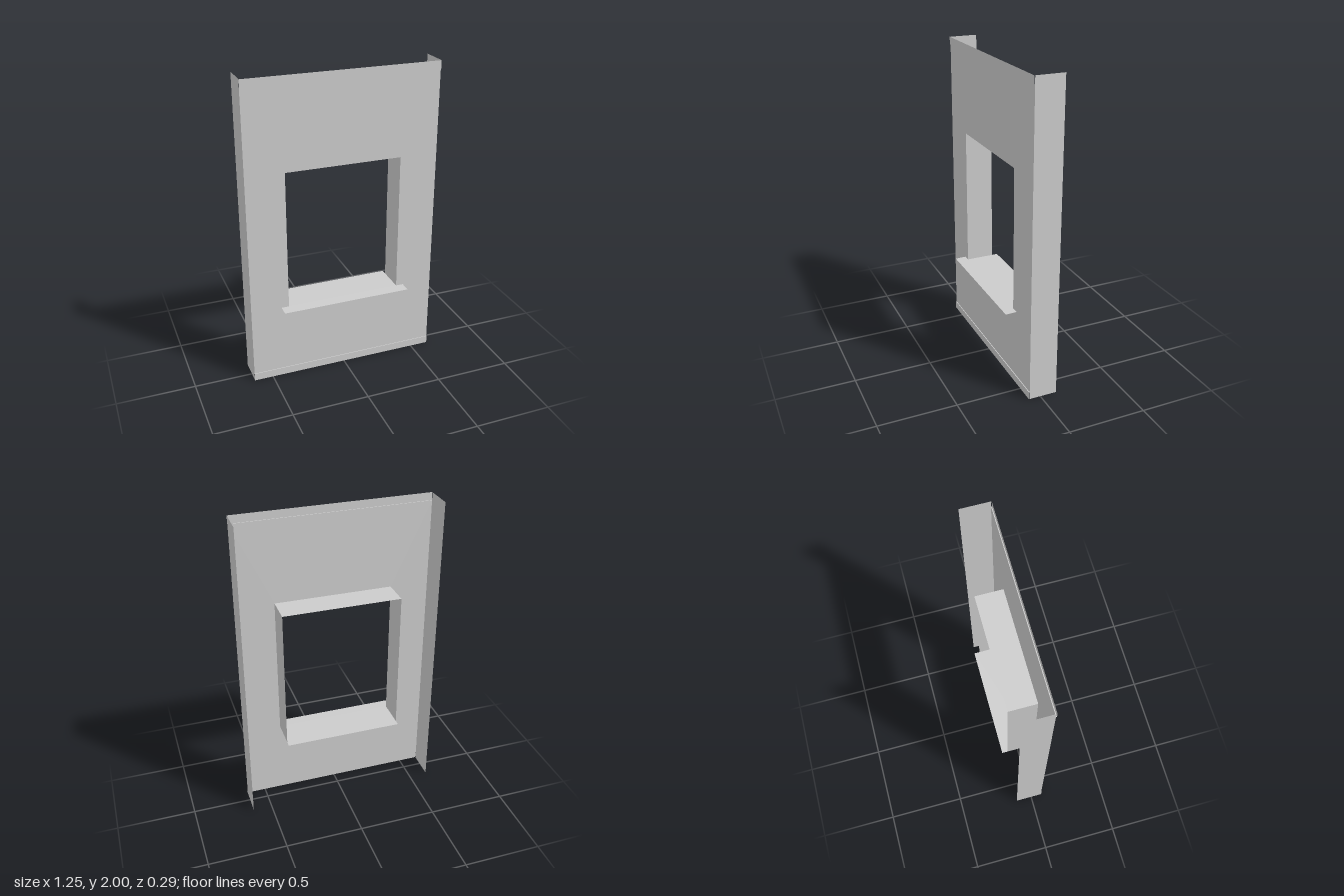
import * as THREE from 'three';

const W = 0.623;            // half width of the panel
const WIN = 0.375;          // half width of the opening
const Y0 = 0.505, Y1 = 1.415; // opening bottom and top
const FACE = 0.073, BACK = -0.108;

const material = new THREE.MeshStandardMaterial({ color: 0xcccccc, side: THREE.DoubleSide, flatShading: true });

// Folded sheet: a profile of [z, y] points swept from -half to +half along x
function foldedSheet(name, half, profile) {
  const pos = [];
  for (let i = 0; i < profile.length - 1; i++) {
    const [za, ya] = profile[i], [zb, yb] = profile[i + 1];
    const a = [-half, ya, za], b = [half, ya, za], c = [half, yb, zb], d = [-half, yb, zb];
    pos.push(...a, ...b, ...c, ...a, ...c, ...d);
  }
  const g = new THREE.BufferGeometry();
  g.setAttribute('position', new THREE.Float32BufferAttribute(pos, 3));
  g.computeVertexNormals();
  const mesh = new THREE.Mesh(g, material);
  mesh.name = name;
  return mesh;
}

// Upright sheet facing sideways at x, running from the face to the back
function sideSheet(name, x, y0, y1) {
  const g = new THREE.PlaneGeometry(FACE - BACK, y1 - y0);
  g.rotateY(Math.sign(x) * Math.PI / 2);
  g.translate(x, (y0 + y1) / 2, (FACE + BACK) / 2);
  const mesh = new THREE.Mesh(g, material);
  mesh.name = name;
  return mesh;
}

export function createModel() {
  const group = new THREE.Group();
  group.name = 'windowWallPanel';

  // Face sheet with the window opening
  const shape = new THREE.Shape([
    [-W, 0.05], [W, 0.05], [W, 1.95], [-W, 1.95],
  ].map(p => new THREE.Vector2(...p)));
  shape.holes.push(new THREE.Path([
    [-WIN, Y0], [-WIN, Y1], [WIN, Y1], [WIN, Y0],
  ].map(p => new THREE.Vector2(...p))));
  const face = new THREE.Mesh(new THREE.ShapeGeometry(shape), material);
  face.name = 'wallFace';
  face.position.z = FACE;
  group.add(face);

  // Edge strips stepped slightly forward of the face
  const step = FACE + 0.005;
  group.add(foldedSheet('topStrip', W, [[FACE, 1.95], [step, 1.95], [step, 2]]));
  group.add(foldedSheet('bottomStrip', W, [[step, 0], [step, 0.05], [FACE, 0.05]]));

  // Side flanges and window reveals
  for (const [side, s] of [['left', 1], ['right', -1]]) {
    group.add(sideSheet(side + 'Flange', s * W, 0, 2));
    group.add(sideSheet(side + 'Reveal', s * WIN, Y0, Y1));
  }
  group.add(foldedSheet('topReveal', WIN, [[FACE, Y1], [BACK, Y1]]));

  // Sill: inner board, and a wider nose with a drip lip
  group.add(foldedSheet('sillBoard', WIN, [[FACE, Y0], [-0.146, Y0]]));
  group.add(foldedSheet('sillNose', 0.424, [[0.145, 0.488], [0.145, 0.503], [FACE, Y0]]));

  return group;
}
